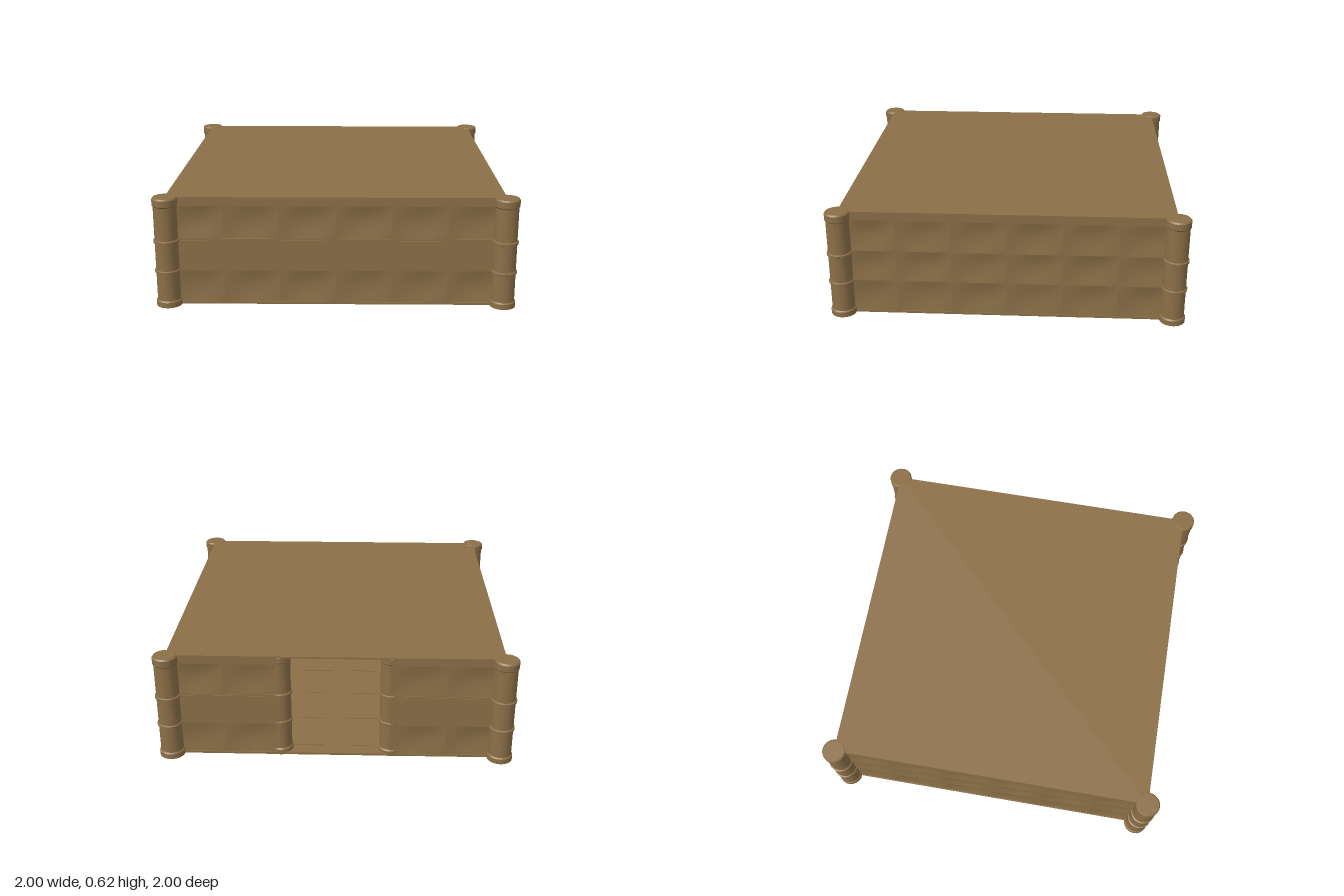
import * as THREE from 'three';
import { toCreasedNormals } from 'three/addons/utils/BufferGeometryUtils.js';

const HALF = 0.927, TILE = HALF / 3, TOP = 0.62;
const stone = new THREE.MeshStandardMaterial({ color: 0x8b6f47 });
stone.name = 'brown stone';

function add(parent, name, geometry, x = 0, y = 0, z = 0) {
  const mesh = new THREE.Mesh(geometry, stone);
  mesh.name = name;
  mesh.position.set(x, y, z);
  parent.add(mesh);
  return mesh;
}

// Stone face with a shallow worn hollow; its edges stay on the wall plane
function hollowTile(w, h, lean) {
  const g = new THREE.PlaneGeometry(w, h, 8, 6);
  const p = g.attributes.position;
  for (let i = 0; i < p.count; i++) {
    const u = p.getX(i) / w + 0.5, v = p.getY(i) / h + 0.5;
    const dent = Math.sin(Math.PI * u) * Math.sin(Math.PI * v);
    p.setZ(i, -0.014 * dent * (0.6 + lean * u * v));
  }
  g.computeVertexNormals();
  return g;
}

// One wall facing +z; smoothMiddle replaces the middle stones by a plain band
function makeWall(name, smoothMiddle, doorway) {
  const wall = new THREE.Group();
  wall.name = name;
  const rows = [[0, 0.2], [0.2, 0.383], [0.383, 0.57]];
  const spans = doorway ? [[0, 2], [4, 6]] : [[0, 6]];
  for (const [a, b] of spans) {
    const w = (b - a) * TILE, x = -HALF + (a + b) * TILE / 2;
    add(wall, 'wallCore', new THREE.BoxGeometry(w, TOP - 0.02, 0.035), x, TOP / 2, HALF - 0.04);
    add(wall, 'topTrim', new THREE.BoxGeometry(w, 0.047, 0.05), x, 0.5935, HALF - 0.025);
    rows.forEach(([y0, y1], r) => {
      const y = (y0 + y1) / 2, h = y1 - y0;
      if (smoothMiddle && r === 1) {
        add(wall, 'middleBand', new THREE.BoxGeometry(w, h - 0.02, 0.05), x, y, HALF - 0.025);
        return;
      }
      for (let i = a; i < b; i++) {
        const tx = -HALF + (i + 0.5) * TILE;
        add(wall, 'wallStone', hollowTile(TILE, h, 0.7 + 0.3 * ((i + r) % 3)), tx, y, HALF - 0.004);
      }
    });
    // Thin ledges above and below the band
    if (smoothMiddle) {
      for (const y of [0.205, 0.374]) {
        add(wall, 'ledge', new THREE.BoxGeometry(w, 0.016, 0.044), x, y, HALF - 0.025);
      }
    }
  }
  return wall;
}

// Round pillar with a foot, two rings and a cap
function pillarGeometry(r, height) {
  const R = r + 0.007;
  const pts = [
    [0, 0], [R, 0], [R, 0.03], [r, 0.037],
    [r, 0.193], [R, 0.197], [R, 0.208], [r, 0.212],
    [r, 0.364], [R, 0.368], [R, 0.38], [r, 0.384],
    [r, 0.572], [r + 0.005, 0.578], [r + 0.005, height - 0.008], [r - 0.002, height], [0, height],
  ].map(([x, y]) => new THREE.Vector2(x, y));
  return toCreasedNormals(new THREE.LatheGeometry(pts, 24), 0.5);
}

export function createModel() {
  const room = new THREE.Group();
  room.name = 'stoneRoom';

  // Floor and flat roof
  add(room, 'floor', new THREE.BoxGeometry(2 * HALF, 0.012, 2 * HALF), 0, 0.006, 0);
  add(room, 'roof', new THREE.BoxGeometry(2 * HALF, 0.01, 2 * HALF), 0, TOP - 0.005, 0);

  // Uneven paving inside
  for (let i = 0; i < 6; i++) {
    for (let j = 0; j < 6; j++) {
      const w = 0.12 + 0.03 * ((i * 2 + j * 3) % 4);
      add(room, 'pavingStone', new THREE.BoxGeometry(w, 0.006, 0.15),
        -HALF + (i + 0.5) * TILE, 0.013, -HALF + (j + 0.5) * TILE);
    }
  }

  // Four walls, with an open doorway at the back
  const sides = [
    ['frontWall', true, false], ['leftWall', false, false],
    ['backWall', true, true], ['rightWall', false, false],
  ];
  sides.forEach(([name, smooth, door], k) => {
    const wall = makeWall(name, smooth, door);
    wall.rotation.y = k * Math.PI / 2;
    room.add(wall);
  });

  // Corner pillars and the two doorway pillars
  const corner = pillarGeometry(0.064, 0.622), jamb = pillarGeometry(0.06, 0.619);
  for (const sx of [-1, 1]) {
    for (const sz of [-1, 1]) add(room, 'cornerPillar', corner, sx * HALF, 0, sz * HALF);
    add(room, 'doorPillar', jamb, sx * TILE, 0, -0.864);
  }
  return room;
}
